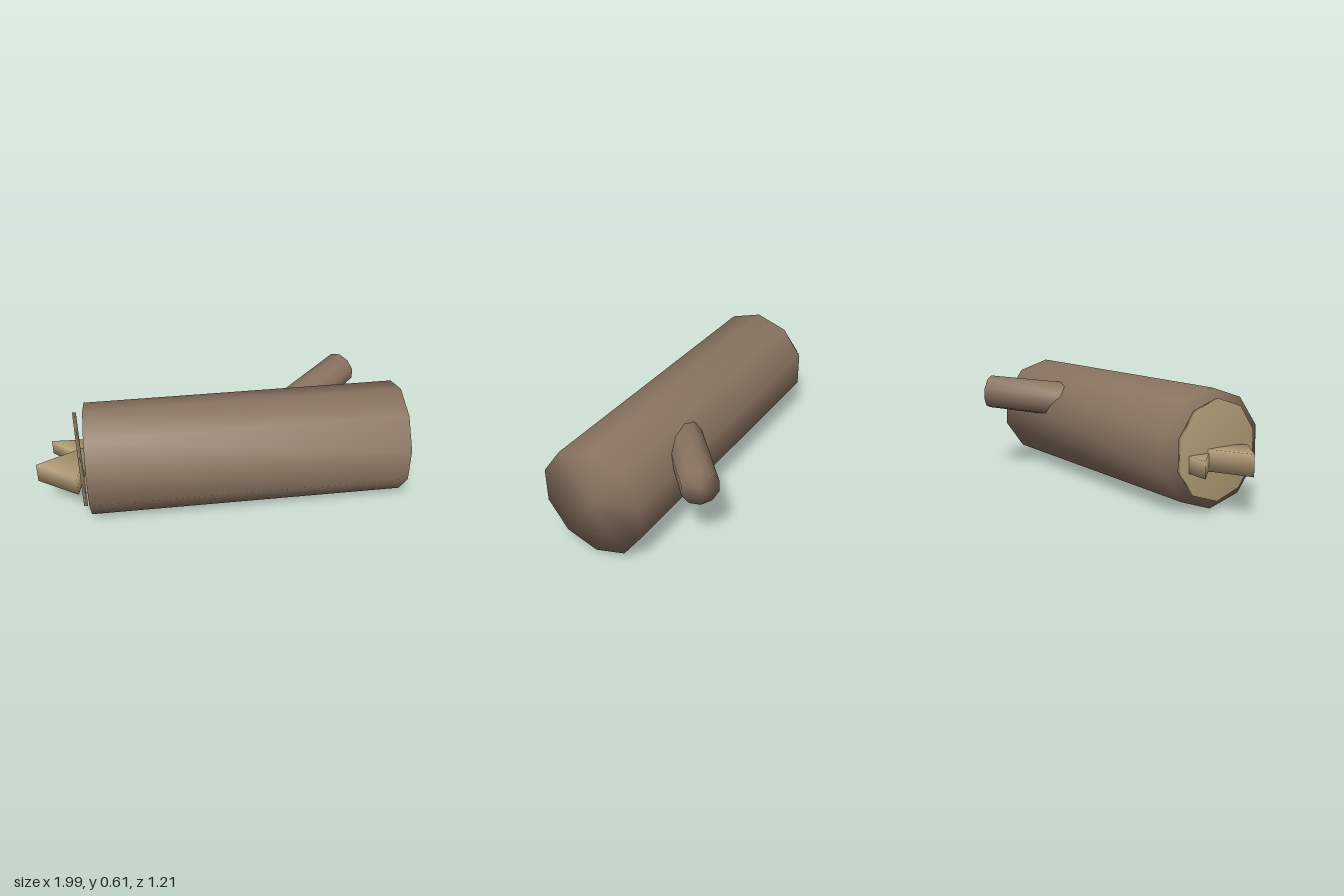
import * as THREE from 'three';
import { mergeVertices } from 'three/addons/utils/BufferGeometryUtils.js';

const bark = new THREE.MeshStandardMaterial({ color: 0x8b7562 });
bark.name = 'bark';
const wood = new THREE.MeshStandardMaterial({ color: 0xb8a27c });
wood.name = 'cutWood';

// Share every corner so shading runs smoothly over all edges
function smooth(geometry) {
  geometry.deleteAttribute('uv');
  geometry.deleteAttribute('normal');
  const merged = mergeVertices(geometry, 1e-4);
  merged.computeVertexNormals();
  return merged;
}

// Ten-sided solid between two points, with one corner line on top
function limb(name, from, to, radiusFrom, radiusTo, material) {
  const a = new THREE.Vector3(...from);
  const b = new THREE.Vector3(...to);
  const axis = b.clone().sub(a);
  const length = axis.length();
  axis.normalize();
  const side = axis.clone().cross(new THREE.Vector3(0, 1, 0)).normalize();
  const up = side.clone().cross(axis);
  const geometry = smooth(new THREE.CylinderGeometry(radiusTo, radiusFrom, length, 10));
  geometry.applyMatrix4(new THREE.Matrix4().makeBasis(side, axis, up));
  const mesh = new THREE.Mesh(geometry, material);
  mesh.name = name;
  mesh.position.copy(a).add(b).multiplyScalar(0.5);
  return mesh;
}

// Upright triangular prism from [x, z] corners
function splinter(name, corners, bottom, height) {
  const shape = new THREE.Shape(corners.map(([x, z]) => new THREE.Vector2(x, -z)));
  const geometry = new THREE.ExtrudeGeometry(shape, { depth: height, bevelEnabled: false });
  geometry.rotateX(-Math.PI / 2);
  const mesh = new THREE.Mesh(smooth(geometry), wood);
  mesh.name = name;
  mesh.position.y = bottom;
  return mesh;
}

export function createModel() {
  const group = new THREE.Group();
  group.name = 'fallenLog';

  // Trunk and the branch stub on its back
  group.add(limb('trunk', [-0.745, 0.305, 0.319], [0.918, 0.305, -0.132], 0.305, 0.305, bark));
  group.add(limb('branch', [0.26, 0.418, -0.06], [0.58, 0.458, -0.556], 0.104, 0.0975, bark));

  // Tilted slice of bare wood at the broken end
  group.add(limb('brokenEnd', [-0.795, 0.305, 0.335], [-0.776, 0.305, 0.328], 0.257, 0.257, wood));

  // Jagged splinters
  group.add(splinter('frontSplinter', [[-1, 0.43], [-0.75, 0.515], [-0.77, 0.23]], 0.21, 0.11));
  group.add(splinter('backSplinter', [[-0.99, 0.185], [-0.74, 0.32], [-0.76, 0.133]], 0.215, 0.085));
  return group;
}
